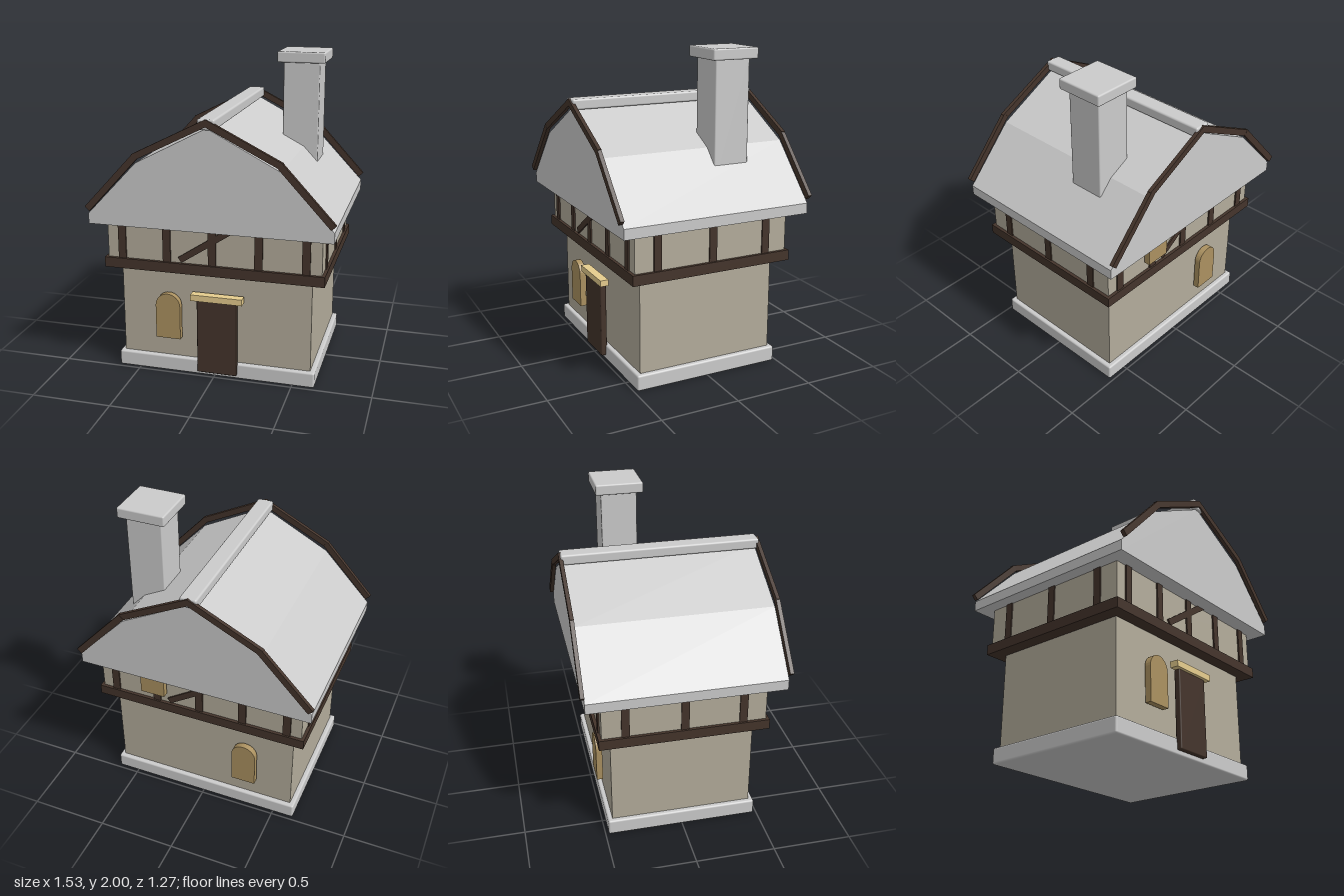
import * as THREE from 'three';
import { RoundedBoxGeometry } from 'three/addons/geometries/RoundedBoxGeometry.js';

const mat = (color) => new THREE.MeshStandardMaterial({ color });

export function createModel() {
  const model = new THREE.Group();
  const stone = mat(0xcccccc);
  const plaster = mat(0xb3ac9b);
  const wood = mat(0x44342b);
  const glass = mat(0xab9160);
  const sand = mat(0xe6cd8e);

  const add = (name, geometry, material, parent = model) => {
    const mesh = new THREE.Mesh(geometry, material);
    mesh.name = name;
    parent.add(mesh);
    return mesh;
  };
  // Box given by its extents; a bevel above zero rounds the edges
  const block = (name, [x0, x1], [y0, y1], [z0, z1], material, bevel = 0, parent = model) => {
    const size = [x1 - x0, y1 - y0, z1 - z0];
    const geometry = bevel
      ? new RoundedBoxGeometry(...size, 2, bevel)
      : new THREE.BoxGeometry(...size);
    const mesh = add(name, geometry, material, parent);
    mesh.position.set((x0 + x1) / 2, (y0 + y1) / 2, (z0 + z1) / 2);
    return mesh;
  };
  // Timber in the x-y plane between two points
  const plank = (name, [ax, ay], [bx, by], thick, depth, z, parent) => {
    const length = Math.hypot(bx - ax, by - ay);
    const mesh = add(name, new THREE.BoxGeometry(length, thick, depth), wood, parent);
    mesh.position.set((ax + bx) / 2, (ay + by) / 2, z);
    mesh.rotation.z = Math.atan2(by - ay, bx - ax);
  };

  // Foundation, storeys and the timber band between them
  block('foundation', [-0.64, 0.64], [0, 0.1], [-0.48, 0.48], stone, 0.012);
  block('lowerWalls', [-0.61, 0.61], [0.09, 0.71], [-0.45, 0.45], plaster);
  block('timberBand', [-0.695, 0.695], [0.695, 0.76], [-0.53, 0.53], wood);
  block('upperWalls', [-0.675, 0.675], [0.75, 1.01], [-0.51, 0.51], plaster);

  // Timber frame: posts on all four sides, one brace on each gable side
  const frame = new THREE.Group();
  frame.name = 'timberFrame';
  model.add(frame);
  for (const side of [-1, 1]) {
    for (const x of [-0.58, -0.29, 0, 0.29, 0.58]) {
      block('gablePost', [x - 0.025, x + 0.025], [0.75, 1.01],
        [side * 0.505 - 0.015, side * 0.505 + 0.015], wood, 0, frame);
    }
    for (const z of [-0.365, 0, 0.365]) {
      block('sidePost', [side * 0.67 - 0.013, side * 0.67 + 0.013], [0.75, 1.01],
        [z - 0.025, z + 0.025], wood, 0, frame);
    }
    plank('brace', [side * -0.205, 0.78], [side * 0.205, 1.05], 0.04, 0.025, side * 0.508, frame);
  }

  // Door with its lintel
  block('door', [-0.105, 0.15], [0.03, 0.52], [0.47, 0.51], wood, 0.008);
  block('doorLintel', [-0.14, 0.19], [0.52, 0.56], [0.47, 0.525], sand);

  // Arched windows
  const arch = new THREE.Shape();
  arch.moveTo(-0.08, 0);
  arch.lineTo(0.08, 0);
  arch.lineTo(0.08, 0.22);
  arch.absarc(0, 0.22, 0.08, 0, Math.PI, false);
  arch.closePath();
  const windowGeometry = new THREE.ExtrudeGeometry(arch, {
    depth: 0.04, bevelEnabled: false, curveSegments: 8,
  });
  add('frontWindow', windowGeometry, glass).position.set(-0.295, 0.24, 0.466);
  add('backWindow', windowGeometry, glass).position.set(-0.295, 0.24, -0.506);
  add('upperBackWindow', windowGeometry, glass).position.set(0.295, 0.845, -0.566);

  // Gambrel roof
  const gable = new THREE.Shape([
    [-0.755, 1], [0.755, 1], [0.755, 1.065], [0.44, 1.4],
    [0, 1.63], [-0.44, 1.4], [-0.755, 1.065],
  ].map(([x, y]) => new THREE.Vector2(x, y)));
  const roofGeometry = new THREE.ExtrudeGeometry(gable, { depth: 1.22, bevelEnabled: false });
  add('roof', roofGeometry, stone).position.z = -0.61;
  block('roofRidge', [-0.053, 0.053], [1.62, 1.685], [-0.625, 0.625], stone, 0.012);

  // Verge boards along both gables
  const verge = new THREE.Group();
  verge.name = 'vergeBoards';
  model.add(verge);
  for (const z of [-0.622, 0.622]) {
    for (const side of [-1, 1]) {
      plank('lowerVerge', [side * 0.752, 1.1], [side * 0.432, 1.447], 0.04, 0.025, z, verge);
      plank('upperVerge', [side * 0.447, 1.438], [side * -0.008, 1.667], 0.04, 0.024, z, verge);
    }
  }

  // Chimney
  block('chimney', [0.3, 0.53], [1.2, 1.935], [-0.315, -0.085], stone, 0.008);
  block('chimneyCap', [0.264, 0.568], [1.932, 2], [-0.352, -0.048], stone, 0.01);

  return model;
}
